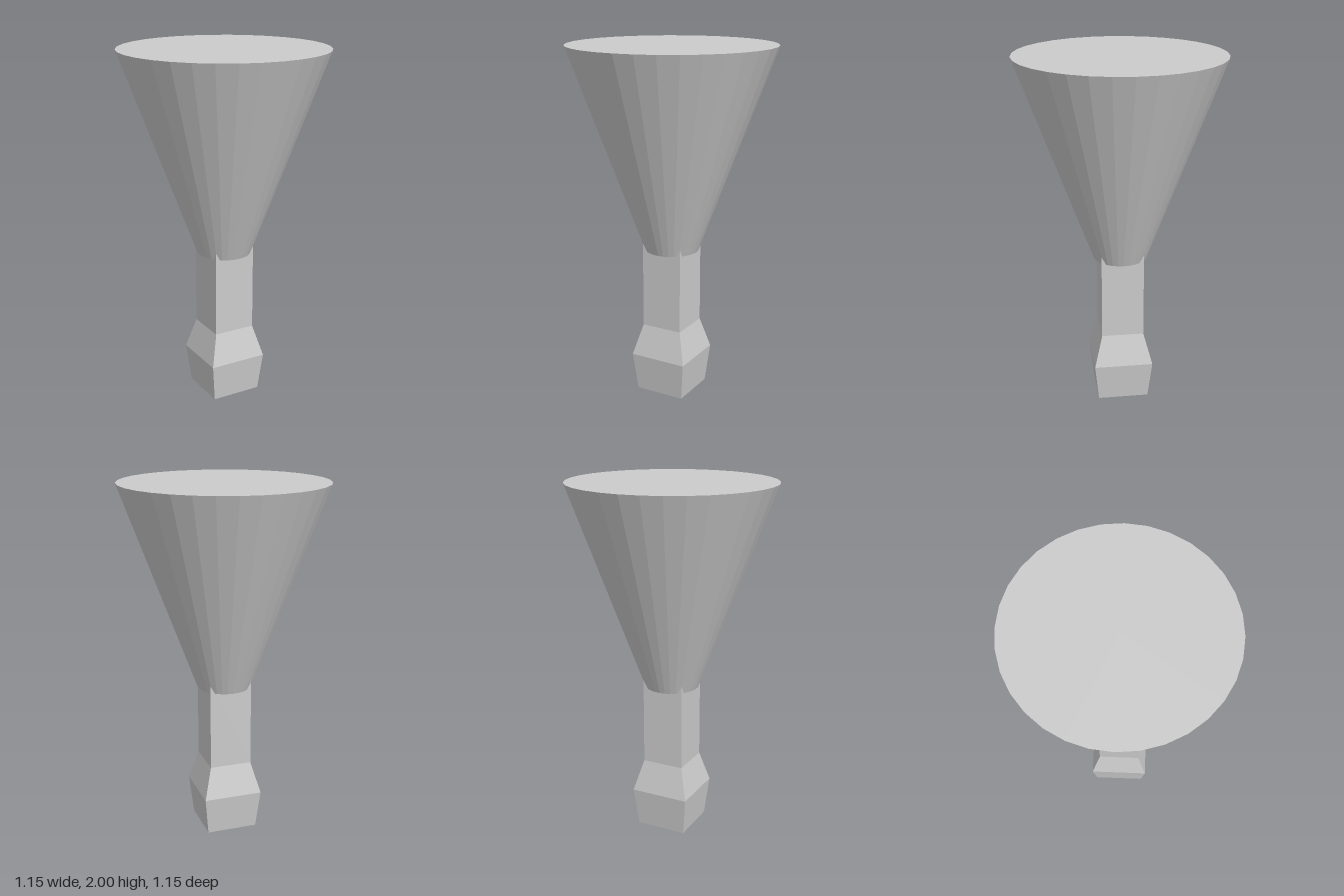
import * as THREE from 'three';

const material = new THREE.MeshStandardMaterial({ color: 0xcccccc, flatShading: true });

function addPart(group, name, geometry) {
  const flat = geometry.toNonIndexed();
  flat.computeVertexNormals();
  const mesh = new THREE.Mesh(flat, material);
  mesh.name = name;
  group.add(mesh);
  return mesh;
}

export function createModel() {
  const group = new THREE.Group();
  group.name = 'flaredHorn';

  // Square handle: [half width, height] from the foot up, running into the cone
  const profile = [[0, 0], [0.145, 0], [0.168, 0.22], [0.12, 0.4], [0.12, 0.93], [0, 0.93]]
    .map(([half, y]) => new THREE.Vector2(half * Math.SQRT2, y));
  const handle = new THREE.LatheGeometry(profile, 4, Math.PI / 4);
  addPart(group, 'handle', handle);

  // Flared cone, closed at both ends
  const bottom = 0.85, top = 2;
  const cone = new THREE.CylinderGeometry(0.576, 0.153, top - bottom, 32);
  addPart(group, 'cone', cone).position.y = (top + bottom) / 2;

  return group;
}
